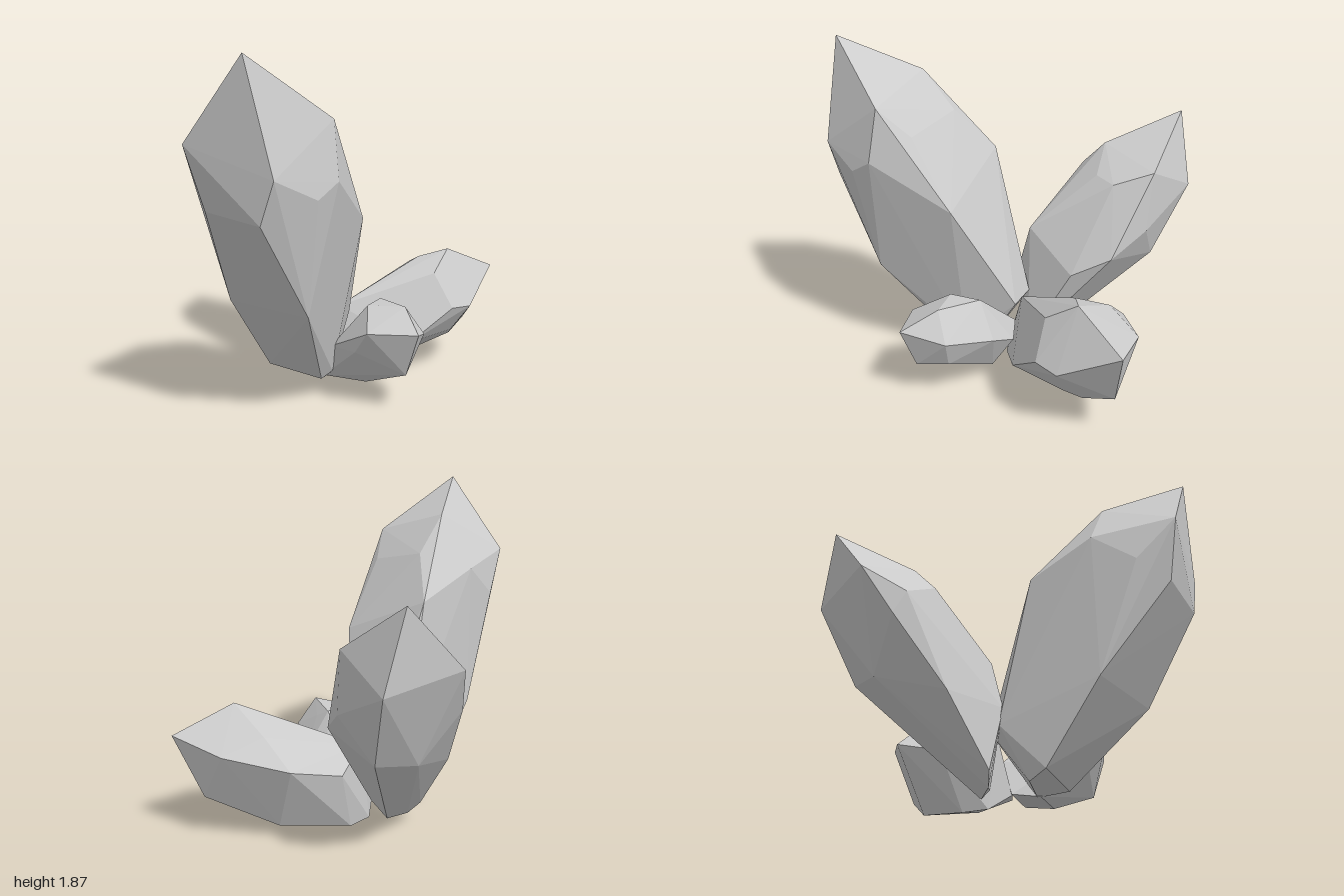
import * as THREE from 'three';
import { ConvexGeometry } from 'three/addons/geometries/ConvexGeometry.js';

const material = new THREE.MeshStandardMaterial({ color: 0xcccccc, flatShading: true });

// A faceted crystal: the hull around a few rings of corners, from root to tip.
function crystal(name, ...rings) {
  const corners = rings.flat().map(([x, y, z]) => new THREE.Vector3(x, y, z));
  const mesh = new THREE.Mesh(new ConvexGeometry(corners), material);
  mesh.name = name;
  return mesh;
}

export function createModel() {
  const group = new THREE.Group();
  group.name = 'crystalCluster';

  group.add(crystal('tallFrontCrystal',
    // root
    [[-0.28, 0.13, 0.18], [0.06, 0.10, 0.25], [0.10, 0.13, 0.18], [0.04, 0.07, 0.08], [-0.2, 0.09, 0.08],
      [-0.10, 0.40, -0.15], [0.10, 0.40, -0.12], [-0.22, 0.40, -0.08]],
    // body
    [[-0.38, 0.57, 0.48], [0.15, 0.57, 0.69], [0.28, 1.01, 0.20], [-0.25, 1.23, 0.10]],
    // shoulder
    [[-0.32, 1.11, 0.87], [0.02, 1.07, 0.98], [0.24, 1.18, 0.79], [0.30, 1.26, 0.66], [0.21, 1.40, 0.44],
      [-0.13, 1.47, 0.31], [-0.39, 1.38, 0.46], [-0.43, 1.20, 0.70]],
    // tip
    [[0.10, 1.29, 1.0], [0.26, 1.56, 0.62], [-0.18, 1.68, 0.51], [-0.41, 1.44, 0.92], [-0.06, 1.87, 0.98]],
  ));

  group.add(crystal('backLeftCrystal',
    // root
    [[-0.33, 0.12, -0.10], [-0.26, 0.05, -0.12], [-0.16, 0.02, -0.18], [-0.05, 0.10, -0.16],
      [-0.20, 0.50, -0.06], [-0.18, 0.77, -0.13]],
    // body
    [[-0.56, 0.48, -0.27], [-0.56, 0.58, -0.66], [-0.40, 0.60, -0.82], [-0.04, 0.69, -0.64], [0.0, 0.58, -0.42]],
    // shoulder
    [[-0.73, 0.85, -0.52], [-0.70, 0.98, -0.46], [-0.47, 1.11, -0.38], [-0.26, 1.11, -0.50],
      [-0.18, 1.09, -0.61], [-0.19, 0.83, -0.81]],
    // tip
    [[-0.80, 1.10, -0.68], [-0.44, 1.25, -0.51], [-0.22, 1.17, -0.83], [-0.53, 1.01, -1.0], [-0.61, 1.43, -0.92]],
  ));

  group.add(crystal('backRightCrystal',
    // root
    [[-0.04, 0.0, -0.17], [0.0, 0.0, -0.32], [0.0, 0.08, -0.05], [0.10, 0.08, -0.07], [0.03, 0.42, -0.14],
      [-0.02, 0.35, -0.45]],
    // body
    [[0.28, 0.07, -0.30], [0.28, 0.07, -0.62], [0.45, 0.22, -0.20], [0.12, 0.45, -0.75]],
    // shoulder
    [[0.64, 0.24, -0.80], [0.59, 0.18, -0.62], [0.62, 0.23, -0.52], [0.66, 0.40, -0.38], [0.54, 0.60, -0.40],
      [0.41, 0.67, -0.53], [0.31, 0.60, -0.70]],
    // tip
    [[0.74, 0.39, -0.51], [0.58, 0.72, -0.58], [0.46, 0.52, -0.88], [0.80, 0.58, -0.85]],
  ));

  group.add(crystal('smallCrystal',
    // root
    [[-0.02, 0.08, -0.05], [0.02, 0.07, 0.10], [0.10, 0.30, -0.12], [0.10, 0.28, 0.20]],
    // body
    [[0.26, 0.08, -0.03], [0.28, 0.07, 0.13], [0.25, 0.26, -0.15], [0.41, 0.33, -0.08], [0.28, 0.30, 0.33]],
    // shoulder
    [[0.56, 0.20, 0.32], [0.54, 0.22, 0.14], [0.61, 0.38, 0.13], [0.43, 0.48, 0.06], [0.33, 0.53, 0.02],
      [0.31, 0.53, 0.20]],
    // tip
    [[0.37, 0.43, 0.41], [0.52, 0.54, 0.20], [0.64, 0.44, 0.38]],
  ));

  return group;
}
